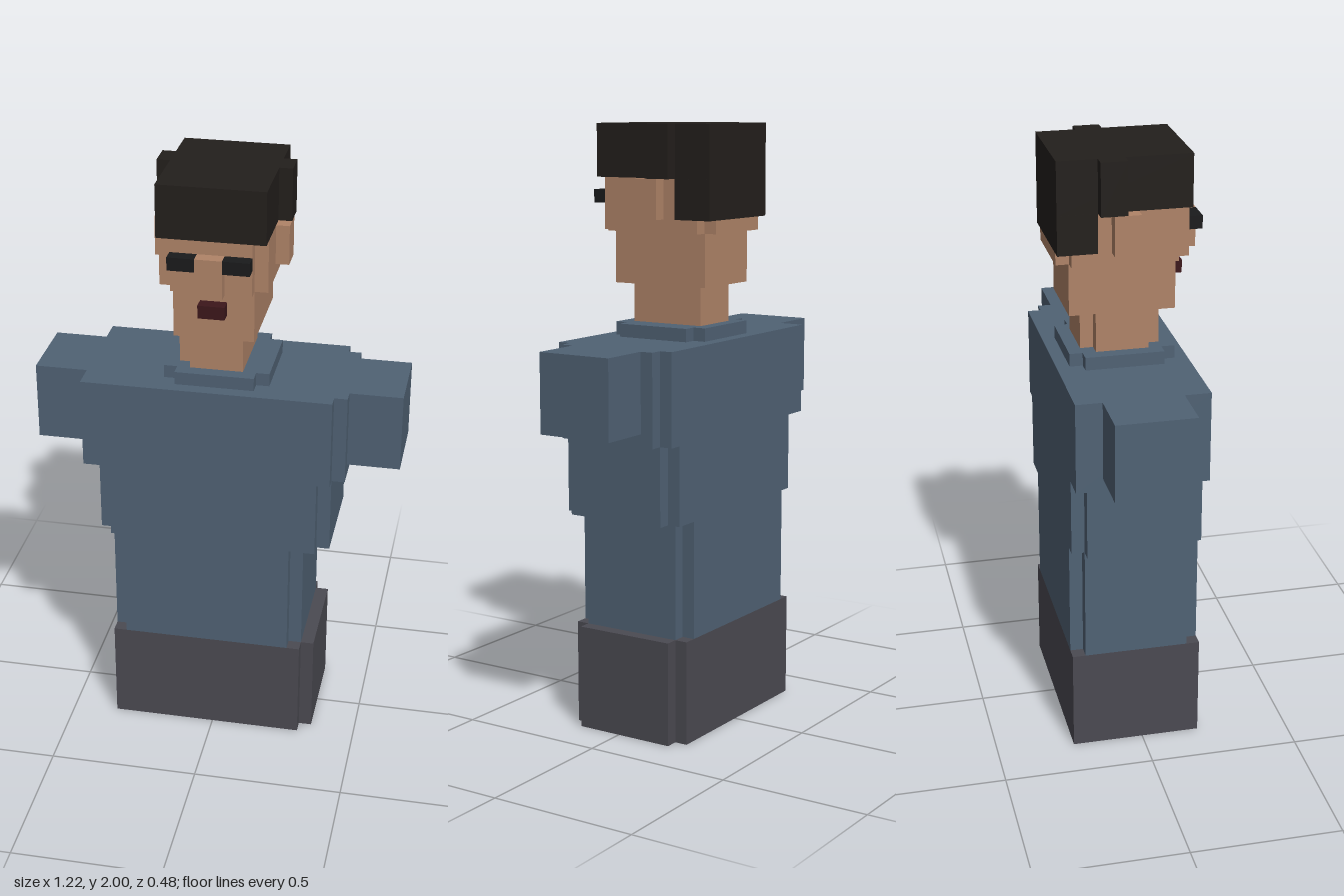
import * as THREE from 'three';

// One block of the model's grid; all sizes below are in blocks.
const U = 2 / 46;

const paint = (color) => new THREE.MeshStandardMaterial({ color, flatShading: true });

export function createModel() {
  const model = new THREE.Group();
  const shirt = paint(0x506274);
  const skin = paint(0xb08468);
  const hair = paint(0x231f1c);
  const trousers = paint(0x4b4a52);
  const dark = paint(0x1a1b1c);
  const lips = paint(0x3c171b);

  // Box between two limits on each axis
  function block(parent, name, material, [x0, x1], [y0, y1], [z0, z1]) {
    const geometry = new THREE.BoxGeometry((x1 - x0) * U, (y1 - y0) * U, (z1 - z0) * U);
    const mesh = new THREE.Mesh(geometry, material);
    mesh.name = name;
    mesh.position.set((x0 + x1) * U / 2, (y0 + y1) * U / 2, (z0 + z1) * U / 2);
    parent.add(mesh);
  }

  // Full-depth core with shallower strips on its sides, giving stepped corners
  function stepped(name, material, [x0, x1], y, [z0, z1], left = 1, right = 1) {
    const group = new THREE.Group();
    group.name = name;
    block(group, name + 'Core', material, [x0, x1], y, [z0, z1]);
    if (left) block(group, name + 'LeftStep', material, [x1, x1 + 1], y, [z0 + 1, z1 - 1]);
    if (right) block(group, name + 'RightStep', material, [x0 - 1, x0], y, [z0 + 1, z1 - 1]);
    model.add(group);
  }

  // Body, from the hips up
  const depth = [-5.5, 4.5];
  stepped('hips', trousers, [-8, 7], [0, 8], depth, 1, 0);
  stepped('waist', shirt, [-7, 6], [8, 17], depth);
  stepped('ribs', shirt, [-8, 8], [17, 23], depth);
  stepped('chest', shirt, [-10, 9], [23, 30], depth, 1, 0);
  stepped('collar', shirt, [-3, 3], [30, 31], [-4.5, 3.5]);
  stepped('neck', skin, [-2, 2], [31, 34], [-3.5, 2.5], 0, 1);

  // Head
  block(model, 'jaw', skin, [-3, 3], [34, 38], [-4.5, 3.5]);
  stepped('face', skin, [-3, 3], [38, 42], [-5.45, 4.5]);
  block(model, 'nose', skin, [-1, 1], [38, 41], [4.5, 5.5]);
  block(model, 'mouth', lips, [-1, 1], [36, 37], [3.5, 4.5]);
  block(model, 'hairTop', hair, [-4, 4], [42, 46], depth);

  // Hair at the back wraps round the skull
  block(model, 'hairBack', hair, [-4.02, 4.02], [39, 42], [-5.5, -2.5]);

  // Mirrored parts
  for (const [side, s] of [['left', 1], ['right', -1]]) {
    const span = (a, b) => (s > 0 ? [a, b] : [-b, -a]);
    block(model, side + 'Arm', shirt, span(10, 14), [24, 30], [-3.5, 2.5]);
    block(model, side + 'Eye', dark, span(1, 3), [40, 41], [4.5, 5.5]);
    block(model, side + 'Ear', skin, span(4, 5), [39, 42], [-1.5, 0.5]);
    block(model, side + 'SideHair', hair, span(4, 5), [42, 46], [-2.5, -0.5]);
  }

  return model;
}
